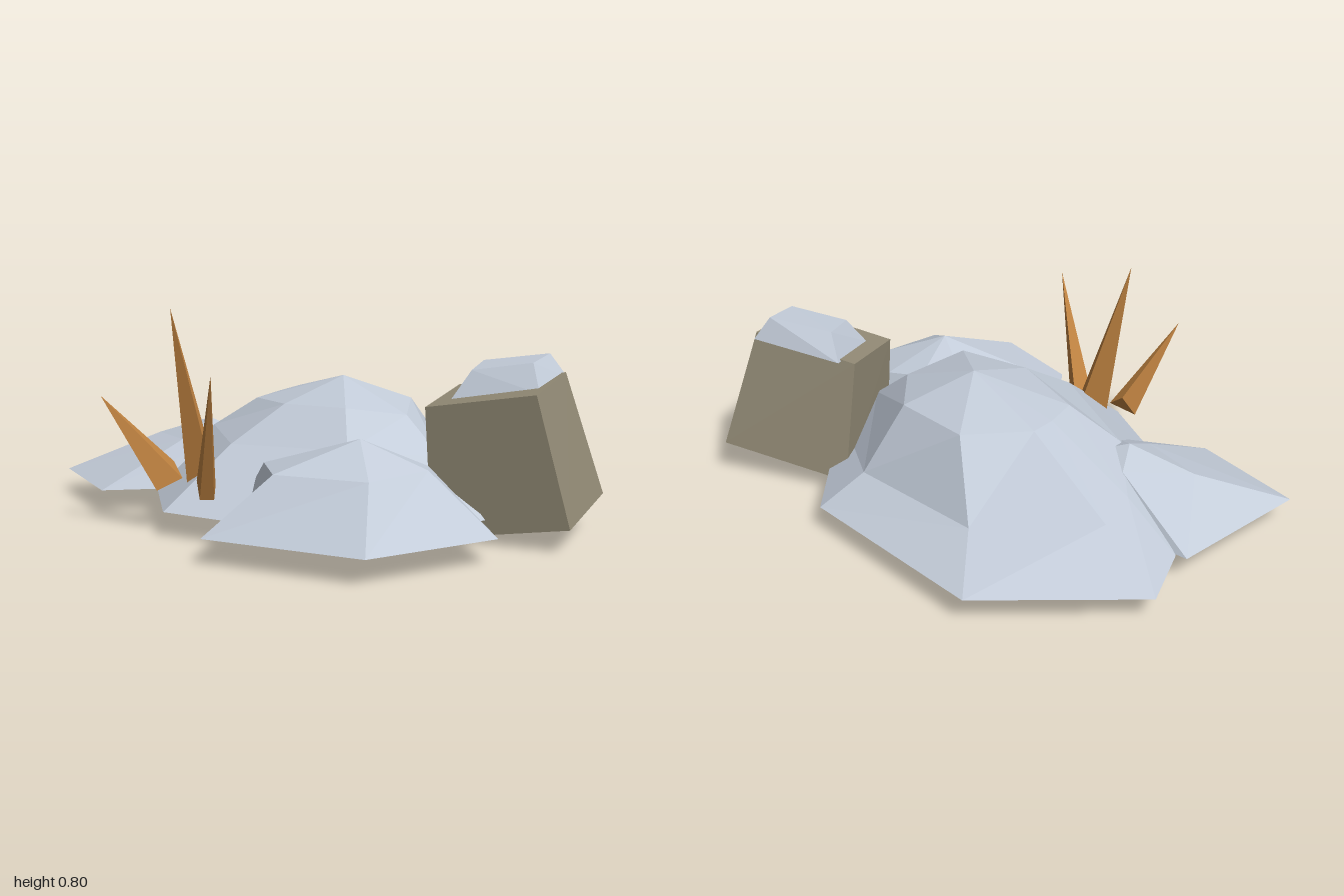
import * as THREE from 'three';
import { ConvexGeometry } from 'three/addons/geometries/ConvexGeometry.js';

const GROUND = 0.09;

// Open faceted dome: rings run from the rim up, clockwise seen from above.
function domeGeometry(rings, apex) {
  const n = rings[0].length;
  const pos = [];
  const tri = (...pts) => pts.forEach((p) => pos.push(...p));
  for (let i = 0; i < n; i++) {
    const j = (i + 1) % n;
    for (let r = 0; r < rings.length - 1; r++) {
      const low = rings[r], up = rings[r + 1];
      tri(low[i], up[i], low[j]);
      tri(up[i], up[j], low[j]);
    }
    const top = rings[rings.length - 1];
    tri(top[i], apex, top[j]);
  }
  const g = new THREE.BufferGeometry();
  g.setAttribute('position', new THREE.Float32BufferAttribute(pos, 3));
  g.computeVertexNormals();
  return g;
}

const rim = (pts) => pts.map(([x, z]) => [x, GROUND, z]);
const hull = (pts) => new ConvexGeometry(pts.map((p) => new THREE.Vector3(...p)));

export function createModel() {
  const model = new THREE.Group();
  const snow = new THREE.MeshStandardMaterial({ color: 0xc3ccd9, side: THREE.DoubleSide, flatShading: true });
  snow.name = 'snow';
  const wood = new THREE.MeshStandardMaterial({ color: 0x938b76, flatShading: true });
  wood.name = 'stone brown';
  const straw = new THREE.MeshStandardMaterial({ color: 0xc08341, flatShading: true });
  straw.name = 'dry grass';

  const add = (name, geometry, material) => {
    const mesh = new THREE.Mesh(geometry, material);
    mesh.name = name;
    model.add(mesh);
  };

  // Large mound
  add('largeMound', domeGeometry([
    rim([[-1, -0.33], [-0.55, -0.77], [0.235, -0.72], [0.73, -0.2],
      [0.6, 0.35], [-0.06, 0.615], [-0.4, 0.43], [-0.89, -0.08]]),
    [[-0.74, 0.24, -0.28], [-0.38, 0.2, -0.57], [0.166, 0.2, -0.565], [0.5, 0.28, -0.2],
      [0.38, 0.32, 0.13], [-0.03, 0.31, 0.34], [-0.47, 0.3, 0.12], [-0.68, 0.24, -0.09]],
    [[-0.37, 0.44, -0.235], [-0.21, 0.445, -0.44], [0.12, 0.43, -0.4], [0.33, 0.41, -0.19],
      [0.27, 0.45, 0.05], [0, 0.44, 0.12], [-0.3, 0.42, 0.03], [-0.35, 0.43, -0.12]],
  ], [0, 0.525, -0.16]), snow);

  // Mound on the left side
  add('leftMound', domeGeometry([
    rim([[0.05, 0.36], [0.12, -0.13], [0.45, -0.21], [0.72, -0.16],
      [0.94, -0.05], [0.87, 0.46], [0.34, 0.72]]),
    [[0.2, 0.28, 0.36], [0.33, 0.3, 0.1], [0.45, 0.3, -0.01], [0.6, 0.28, -0.05],
      [0.73, 0.3, 0.07], [0.72, 0.29, 0.32], [0.43, 0.29, 0.49]],
  ], [0.52, 0.39, 0.19]), snow);

  // Mound on the right side
  add('rightMound', domeGeometry([
    rim([[-0.965, 0.51], [-0.93, -0.07], [-0.5, -0.1], [-0.38, 0.2], [-0.4, 0.42], [-0.51, 0.61]]),
    [[-0.75, 0.24, 0.2], [-0.59, 0.27, -0.01], [-0.45, 0.29, 0.05],
      [-0.38, 0.25, 0.2], [-0.385, 0.23, 0.24], [-0.5, 0.25, 0.25]],
  ], [-0.53, 0.32, 0.1]), snow);

  // Leaning tapered post with a cap of snow
  add('post', hull([
    [0.54, 0, -0.125], [0.995, 0.085, -0.337], [0.82, 0.133, -0.71], [0.364, 0.05, -0.49],
    [0.52, 0.47, -0.105], [0.89, 0.54, -0.27], [0.75, 0.58, -0.57], [0.38, 0.51, -0.405],
  ]), wood);
  add('postSnow', hull([
    [0.54, 0.49, -0.21], [0.83, 0.53, -0.35], [0.74, 0.56, -0.59], [0.42, 0.515, -0.45],
    [0.57, 0.592, -0.28], [0.76, 0.628, -0.39], [0.7, 0.645, -0.54], [0.49, 0.61, -0.42],
  ]), snow);

  // Grass blades: tip followed by three base corners
  const blades = [
    [[-0.2, 0.8, 0.485], [0, 0.2, 0.44], [-0.04, 0.18, 0.39], [-0.11, 0.165, 0.48]],
    [[0.27, 0.615, 0.625], [0, 0.2, 0.51], [0.03, 0.18, 0.45], [0.11, 0.15, 0.51], [0.08, 0.15, 0.55]],
    [[-0.24, 0.5, 0.755], [-0.2, 0.15, 0.55], [-0.14, 0.15, 0.59], [-0.11, 0.19, 0.5], [-0.18, 0.24, 0.49]],
  ];
  blades.forEach((pts, i) => add(`grassBlade${i + 1}`, hull(pts), straw));

  return model;
}
